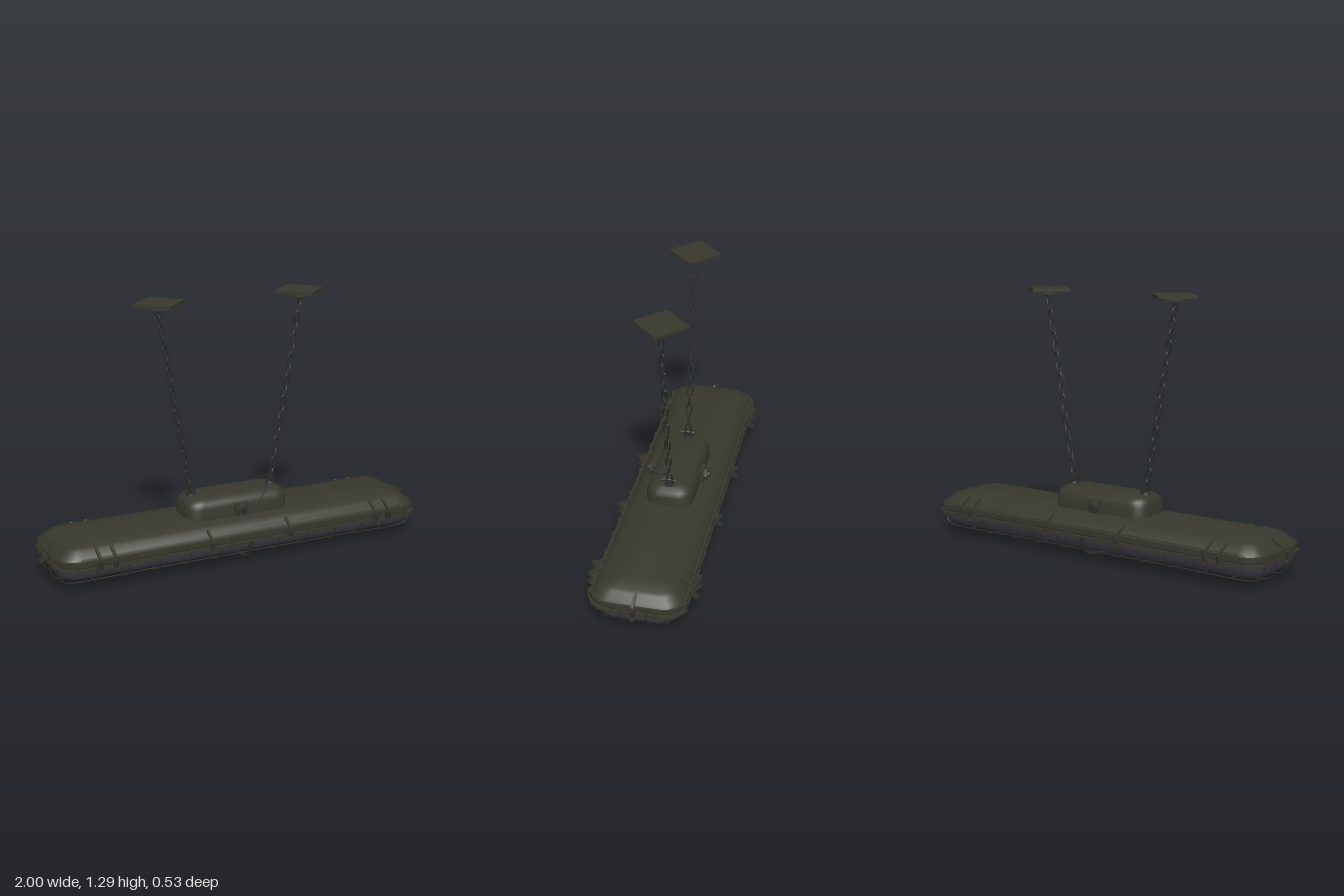
import * as THREE from 'three';
import { toCreasedNormals } from 'three/addons/utils/BufferGeometryUtils.js';

const V = (x, y, z) => new THREE.Vector3(x, y, z);
const paint = (name, color) => Object.assign(new THREE.MeshStandardMaterial({ color }), { name });

// Closed loft through rounded rectangles [halfX, halfZ, corner, y], bottom to top
function loft(rings, crease = 0.5, seg = 4) {
  const pos = [], idx = [], n = 4 * (seg + 1);
  for (const [hx, hz, r, y] of rings)
    for (let q = 0; q < 4; q++)
      for (let i = 0; i <= seg; i++) {
        const a = (q + i / seg) * Math.PI / 2;
        const sx = q === 0 || q === 3 ? 1 : -1, sz = q < 2 ? -1 : 1;
        pos.push(sx * (hx - r) + r * Math.cos(a), y, sz * (hz - r) - r * Math.sin(a));
      }
  for (let k = 0; k < rings.length - 1; k++)
    for (let i = 0; i < n; i++) {
      const a = k * n + i, b = k * n + (i + 1) % n;
      idx.push(a, b, b + n, a, b + n, a + n);
    }
  const last = rings.length - 1, base = rings.length * n;
  pos.push(0, rings[0][3], 0, 0, rings[last][3], 0);
  for (let i = 0; i < n; i++) {
    const j = (i + 1) % n;
    idx.push(base, j, i, base + 1, last * n + i, last * n + j);
  }
  const g = new THREE.BufferGeometry();
  g.setAttribute('position', new THREE.Float32BufferAttribute(pos, 3));
  g.setIndex(idx);
  return toCreasedNormals(g, crease);
}

const wire = (pts, r, seg = 32, closed = false, sides = 6) =>
  new THREE.TubeGeometry(new THREE.CatmullRomCurve3(pts, closed, 'centripetal'), seg, r, sides, closed);

export function createModel() {
  const model = new THREE.Group();
  model.name = 'hangingLamp';
  const olive = paint('olive paint', 0x37372d);
  const glass = paint('smoky glass', 0x423f48);
  const iron = paint('dark iron', 0x2b2b2a);

  const add = (name, geo, mat, x = 0, y = 0, z = 0, parent = model) => {
    const m = new THREE.Mesh(geo, mat);
    m.name = name;
    m.position.set(x, y, z);
    parent.add(m);
    return m;
  };

  // Housing, rims and glass
  add('housing', loft([
    [0.955, 0.215, 0.09, 0.155], [0.945, 0.21, 0.09, 0.172], [0.915, 0.18, 0.07, 0.2],
    [0.9, 0.165, 0.06, 0.211], [0.84, 0.115, 0.05, 0.222], [0.82, 0.085, 0.04, 0.228],
  ]), olive);
  add('upperRim', loft([[0.96, 0.225, 0.1, 0.138], [0.96, 0.225, 0.1, 0.162]]), olive);
  add('gasket', loft([[0.95, 0.215, 0.09, 0.12], [0.95, 0.215, 0.09, 0.14]]), iron);
  add('cageRim', loft([[0.965, 0.23, 0.1, 0.116], [0.965, 0.23, 0.1, 0.128]]), olive);
  add('glassCover', loft([
    [0.86, 0.08, 0.05, 0.035], [0.91, 0.14, 0.07, 0.046], [0.935, 0.18, 0.08, 0.064],
    [0.948, 0.203, 0.09, 0.09], [0.95, 0.208, 0.09, 0.122],
  ], 0.7), glass);

  // Junction box with side cable glands
  add('junctionBox', loft([
    [0.27, 0.115, 0.07, 0.205], [0.27, 0.115, 0.07, 0.275], [0.262, 0.107, 0.07, 0.3],
    [0.245, 0.09, 0.06, 0.317], [0.22, 0.065, 0.05, 0.324],
  ], 0.7, 6), olive);
  for (const s of [-1, 1]) {
    const gland = new THREE.Group();
    gland.name = 'cableGland';
    gland.position.set(0, 0.255, s * 0.115);
    gland.rotation.x = s * Math.PI / 2;
    model.add(gland);
    add('glandPlate', new THREE.BoxGeometry(0.07, 0.02, 0.065), olive, 0, 0.005, 0, gland);
    add('glandNut', toCreasedNormals(new THREE.CylinderGeometry(0.027, 0.03, 0.02, 8), 0.4), olive, 0, 0.022, 0, gland);
    add('glandNozzle', new THREE.CylinderGeometry(0.014, 0.016, 0.014, 10), iron, 0, 0.036, 0, gland);
  }

  // Wire cage: cross ribs, lengthwise wires and the heavy middle hoop
  for (let i = -5; i <= 5; i++) {
    if (i === 0) continue;
    const half = [[0.222, 0.125], [0.216, 0.075], [0.185, 0.044], [0.1, 0.034]];
    const x = i * 0.157;
    const pts = [...half.map(([z, y]) => V(x, y, z)), V(x, 0.03, 0), ...half.reverse().map(([z, y]) => V(x, y, -z))];
    add('cageRib', wire(pts, 0.004), iron);
  }
  for (const [z, y, e] of [[0.06, 0.031, 0.965], [0.145, 0.038, 0.955]])
    for (const s of [-1, 1]) {
      const end = [[e, 0.125], [e - 0.004, 0.075], [e - 0.022, y + 0.012], [e - 0.06, y], [0.5, y]];
      const pts = [...end.map(([x, h]) => V(x, h, s * z)), ...end.reverse().map(([x, h]) => V(-x, h, s * z))];
      add('cageLongWire', wire(pts, 0.004, 64), iron);
    }
  const hoop = [[0.228, 0.125], [0.218, 0.075], [0.19, 0.038], [0.1, 0.018]];
  add('cageHoop', wire([...hoop.map(([z, y]) => V(0, y, z)), V(0, 0.01, 0),
    ...hoop.slice().reverse().map(([z, y]) => V(0, y, -z))], 0.01, 40, false, 8), iron);

  // Rim clamps: bracket, bolt with nuts, and a lever lying on the housing
  function clamp(x, z, turn, size) {
    const c = new THREE.Group();
    c.name = 'rimClamp';
    c.position.set(x, 0.14, z);
    c.rotation.y = turn;
    c.scale.setScalar(size);
    model.add(c);
    add('clampBracket', new THREE.BoxGeometry(0.024, 0.036, 0.035), olive, 0, 0, 0.006, c);
    add('clampBolt', new THREE.CylinderGeometry(0.008, 0.008, 0.068, 8), iron, 0, 0, 0.024, c);
    for (const y of [-0.024, 0.026])
      add('clampNut', new THREE.CylinderGeometry(0.015, 0.015, 0.012, 6), olive, 0, y, 0.024, c);
    const lever = add('clampLever', new THREE.BoxGeometry(0.014, 0.012, 0.085), olive, 0, 0.047, -0.015, c);
    lever.rotation.x = 0.5;
  }
  for (const s of [-1, 1]) {
    for (const x of [-0.775, -0.7, 0.695, 0.77]) clamp(x, s * 0.225, s > 0 ? 0 : Math.PI, 1);
    for (const x of [-0.21, 0.21]) clamp(x, s * 0.228, s > 0 ? 0 : Math.PI, 0.9);
    clamp(s * 0.961, 0, s * Math.PI / 2, 1);
  }
  // Small rim screws
  for (const s of [-1, 1]) {
    for (const x of [-0.88, -0.59, -0.45, -0.33, -0.1, 0.1, 0.33, 0.45, 0.59, 0.88])
      add('rimScrew', new THREE.BoxGeometry(0.016, 0.05, 0.012), olive, x, 0.138, s * 0.226);
    for (const z of [-0.1, -0.06, 0.06, 0.1])
      add('rimScrew', new THREE.BoxGeometry(0.012, 0.05, 0.016), olive, s * 0.962, 0.138, z);
  }

  // Chains with eye bolts and ceiling plates
  const link = [];
  for (let i = 0; i < 12; i++) {
    const a = i / 12 * Math.PI * 2;
    link.push(V(0, 0.0125 * Math.sin(a) + Math.sign(Math.round(Math.sin(a) * 10)) * 0.0155, 0.0125 * Math.cos(a)));
  }
  const linkGeo = wire(link, 0.0045, 24, true);
  for (const s of [-1, 1]) {
    const low = V(s * 0.221, 0.366, 0), high = V(s * 0.376, 1.252, 0);
    const chain = new THREE.Group();
    chain.name = 'chain';
    chain.position.copy(low);
    chain.rotation.z = -Math.atan2(high.x - low.x, high.y - low.y);
    model.add(chain);
    const length = low.distanceTo(high), count = 18;
    for (let i = 0; i < count; i++) {
      const m = add('chainLink', linkGeo, iron, 0, length * i / (count - 1), 0, chain);
      m.rotation.y = i % 2 ? Math.PI / 2 : 0;
    }
    add('boltBase', new THREE.CylinderGeometry(0.02, 0.024, 0.014, 12), iron, s * 0.216, 0.328, 0);
    for (const z of [-0.014, 0.014])
      add('shackleEar', new THREE.BoxGeometry(0.024, 0.034, 0.006), iron, s * 0.217, 0.345, z);
    add('shacklePin', new THREE.CylinderGeometry(0.006, 0.006, 0.07, 8), iron, s * 0.217, 0.348, 0).rotation.x = Math.PI / 2;
    for (const z of [-0.033, 0.033])
      add('pinNut', new THREE.CylinderGeometry(0.011, 0.011, 0.008, 6), iron, s * 0.217, 0.348, z).rotation.x = Math.PI / 2;
    add('ceilingPlate', new THREE.BoxGeometry(0.184, 0.015, 0.184), olive, s * 0.368, 1.2865, 0).rotation.y = Math.PI / 4;
    add('ceilingBoss', new THREE.CylinderGeometry(0.068, 0.068, 0.016, 24), olive, s * 0.368, 1.272, 0);
    add('ceilingEye', new THREE.TorusGeometry(0.013, 0.004, 6, 14), iron, s * 0.374, 1.258, 0).rotation.y = Math.PI / 2;
  }

  // Thin supply cable winding down one chain to the front gland
  add('supplyCable', wire([V(0.305, 0.9, 0), V(0.275, 0.82, 0.006), V(0.275, 0.66, -0.006), V(0.235, 0.5, 0.006),
    V(0.22, 0.42, 0), V(0.19, 0.36, 0.03), V(0.15, 0.325, 0.08), V(0.09, 0.28, 0.13), V(0.03, 0.255, 0.155),
    V(0, 0.255, 0.15)], 0.002, 60, false, 5), iron);
  return model;
}
